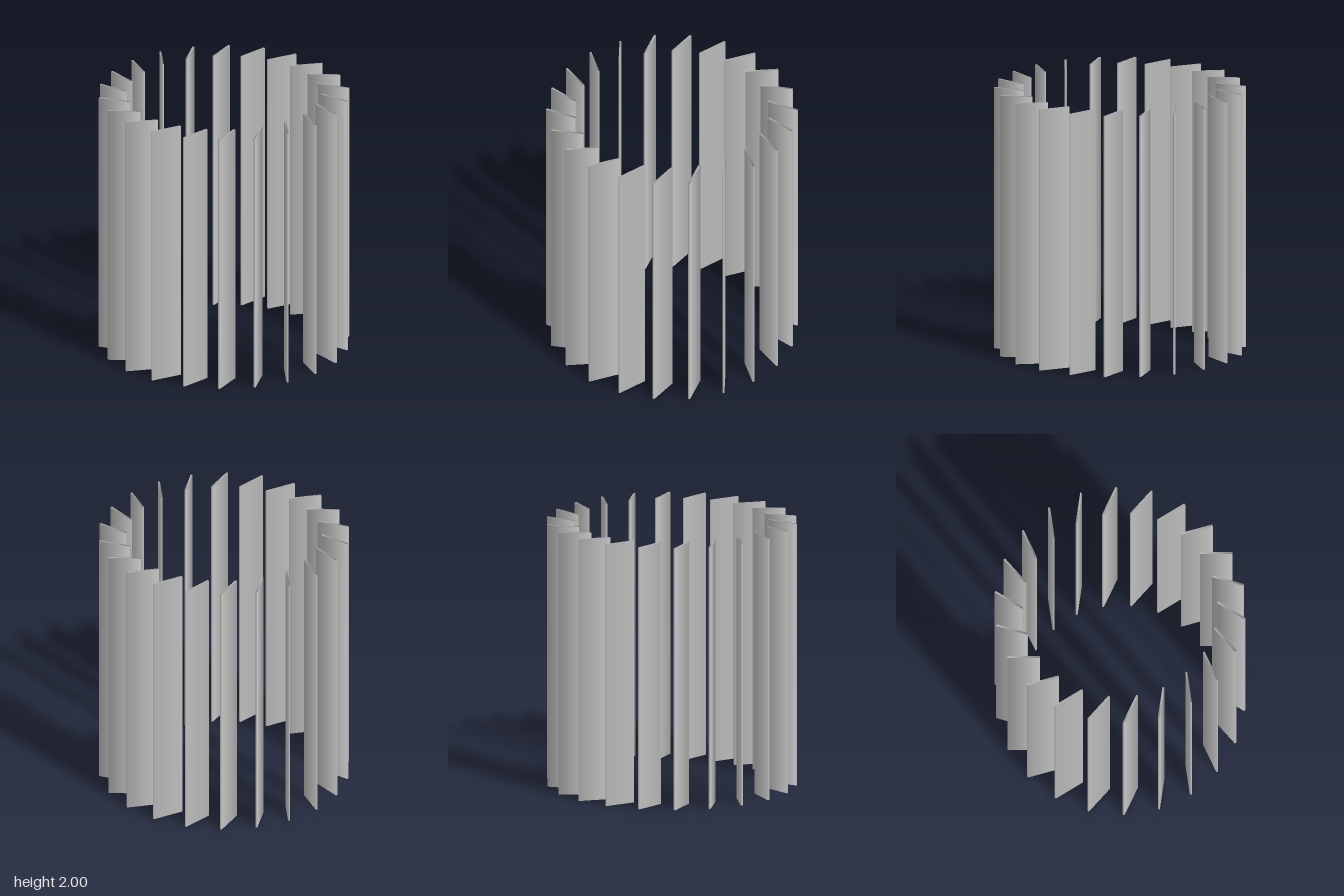
import * as THREE from 'three';

const COUNT = 22;        // blades around the ring
const RADIUS = 0.828;    // ring radius at the blade centres
const CHORD = 0.243;
const THICKNESS = 0.015;
const HEIGHT = 2;
const PITCH = THREE.MathUtils.degToRad(-30);
const START = THREE.MathUtils.degToRad(0.6);

// Open-ended four-sided tube; the corner normals stay diagonal so the faces shade softly
function bladeGeometry() {
  const geo = new THREE.CylinderGeometry(Math.SQRT1_2, Math.SQRT1_2, HEIGHT, 4, 1, true);
  geo.rotateY(Math.PI / 4);
  geo.attributes.position.applyMatrix4(new THREE.Matrix4().makeScale(THICKNESS, 1, CHORD));
  return geo;
}

export function createModel() {
  const model = new THREE.Group();
  model.name = 'bladeRing';
  const geo = bladeGeometry();
  const material = new THREE.MeshStandardMaterial({ color: 0xcccccc, side: THREE.DoubleSide });

  // Upright blades in a ring, each pitched away from the radial direction
  for (let i = 0; i < COUNT; i++) {
    const angle = START + (i / COUNT) * Math.PI * 2;
    const blade = new THREE.Mesh(geo, material);
    blade.name = `blade${i + 1}`;
    blade.position.set(Math.sin(angle) * RADIUS, HEIGHT / 2, Math.cos(angle) * RADIUS);
    blade.rotation.y = angle + PITCH;
    model.add(blade);
  }
  return model;
}
